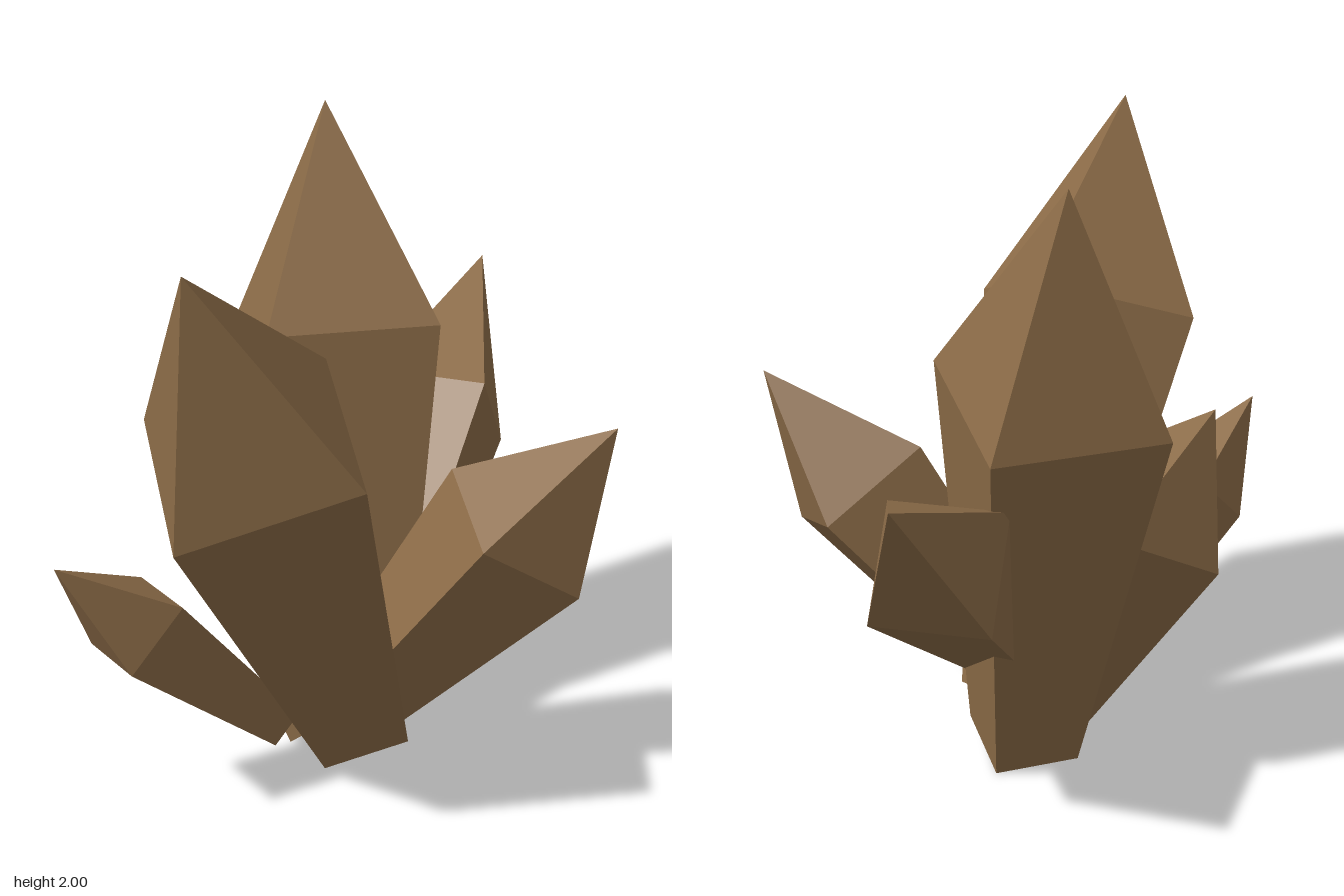
import * as THREE from 'three';

const material = new THREE.MeshStandardMaterial({ color: 0x8b6b47, flatShading: true });

// Four-sided tapered shaft with a pointed tip. The shoulder ring is a square given by
// one corner and its two neighbours; the shaft runs "stretch" tip lengths below it.
function crystal(name, tip, corner, next, previous, stretch = 1.87) {
  const [t, c, n, p] = [tip, corner, next, previous].map(a => new THREE.Vector3(...a));
  const centre = n.clone().add(p).multiplyScalar(0.5);
  let u = n.clone().sub(c).multiplyScalar(0.5);
  let v = p.clone().sub(c).multiplyScalar(0.5);
  const axis = t.clone().sub(centre);

  // Keep the frame right-handed so faces point outward
  if (u.clone().cross(axis).dot(v) < 0) [u, v] = [v, u];

  const r = Math.SQRT2;
  const profile = [[0, -stretch], [r / 2, -stretch], [r, 0], [0, 1]]
    .map(([x, y]) => new THREE.Vector2(x, y));
  const geometry = new THREE.LatheGeometry(profile, 4).rotateY(Math.PI / 4).toNonIndexed();
  const frame = new THREE.Matrix4().makeBasis(u, axis, v).setPosition(centre);
  geometry.applyMatrix4(frame);
  geometry.computeVertexNormals();

  const mesh = new THREE.Mesh(geometry, material);
  mesh.name = name;
  return mesh;
}

export function createModel() {
  const group = new THREE.Group();
  group.name = 'crystalCluster';
  group.add(
    // Two tall crystals
    crystal('tallBackCrystal', [0.155, 2.0, -0.45],
      [-0.12, 1.38, -0.03], [0.43, 1.38, -0.03], [-0.12, 1.25, -0.57]),
    crystal('tallFrontCrystal', [-0.51, 1.89, 0.84],
      [-0.02, 1.25, 0.885], [-0.02, 1.45, 0.365], [-0.545, 1.08, 0.82], 1.85),
    // Medium crystals leaning outward
    crystal('backLeftCrystal', [0.81, 1.31, -0.88],
      [0.655, 1.07, -0.29], [0.345, 1.07, -0.49], [0.78, 0.78, -0.49]),
    crystal('frontLeftCrystal', [0.835, 1.21, 0.49],
      [0.41, 0.88, 0.57], [0.41, 1.0, 0.21], [0.73, 0.675, 0.52]),
    crystal('backRightCrystal', [-0.315, 1.27, -0.42],
      [-0.335, 0.73, -0.43], [-0.41, 0.86, -0.085], [0.0, 0.89, -0.42], 2.0),
    // Small low crystal
    crystal('smallFrontRightCrystal', [-0.84, 0.905, 0.465],
      [-0.72, 0.555, 0.275], [-0.63, 0.555, 0.505], [-0.555, 0.73, 0.21])
  );
  return group;
}
